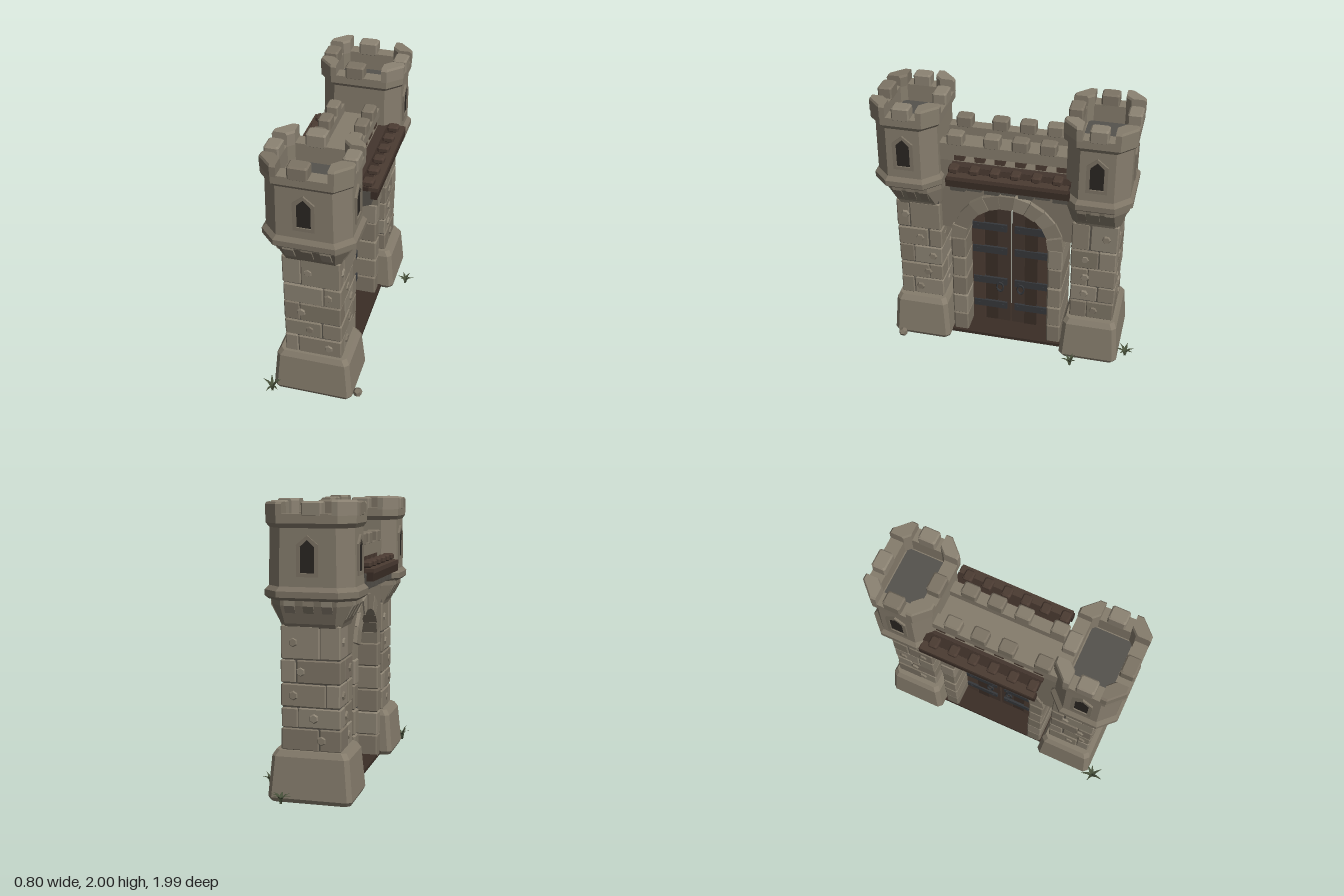
import * as THREE from 'three';

const mat = (color, side = THREE.FrontSide) =>
  new THREE.MeshStandardMaterial({ color, flatShading: true, roughness: 0.9, side });
const STONES = [mat(0x857c6c), mat(0x7d7465), mat(0x8c8373)];
const STONE = STONES[0], DARK = mat(0x55514a), FLOOR = mat(0x54524d);
const WOOD = [mat(0x43352d), mat(0x3a2d26), mat(0x4b3b32)];
const IRON = mat(0x35373a), VOID = mat(0x2a2622), LEAF = mat(0x47503a, THREE.DoubleSide);

let seed = 7;
const rnd = (a, b) => {
  seed = (seed * 16807) % 2147483647;
  return a + (b - a) * (seed / 2147483647);
};
const stone = () => STONES[Math.floor(rnd(0, 3))];

function add(parent, name, geo, material, x = 0, y = 0, z = 0) {
  const m = new THREE.Mesh(geo, material);
  m.name = name;
  m.position.set(x, y, z);
  parent.add(m);
  return m;
}
const box = (w, h, d) => new THREE.BoxGeometry(w, h, d);

// Rectangle with cut corners, as [x, z] points
const cut = (hx, hz, c) => [
  [hx, -hz + c], [hx, hz - c], [hx - c, hz], [-hx + c, hz],
  [-hx, hz - c], [-hx, -hz + c], [-hx + c, -hz], [hx - c, -hz]];

// Skin over horizontal rings [y, points], capped at both ends
function loft(rings) {
  const n = rings[0][1].length, pos = [], idx = [];
  for (const [y, pts] of rings) for (const [x, z] of pts) pos.push(x, y, z);
  const cap = (r, up) => {
    const [y, pts] = rings[r], c = pos.length / 3;
    pos.push(pts.reduce((s, p) => s + p[0], 0) / n, y, pts.reduce((s, p) => s + p[1], 0) / n);
    for (let i = 0; i < n; i++) {
      const a = r * n + i, b = r * n + (i + 1) % n;
      if (up) idx.push(c, b, a); else idx.push(c, a, b);
    }
  };
  for (let r = 0; r < rings.length - 1; r++) for (let i = 0; i < n; i++) {
    const a = r * n + i, b = r * n + (i + 1) % n;
    idx.push(a, a + n, b, a + n, b + n, b);
  }
  cap(0, false);
  cap(rings.length - 1, true);
  const g = new THREE.BufferGeometry();
  g.setAttribute('position', new THREE.Float32BufferAttribute(pos, 3));
  g.setIndex(idx);
  const flat = g.toNonIndexed();
  flat.computeVertexNormals();
  return flat;
}

// Stone block with worn edges, centred
function block(w, h, d, b = 0.01) {
  const x = w / 2, y = h / 2, z = d / 2;
  return loft([[-y, cut(x - b, z - b, b)], [-y + b, cut(x, z, b)], [y - b, cut(x, z, b)], [y, cut(x - b, z - b, b)]]);
}

// Outline in (z, y), extruded along x from x0 to x1
function slabX(pts, x0, x1) {
  const s = new THREE.Shape(pts.map(p => new THREE.Vector2(p[0], p[1])));
  const g = new THREE.ExtrudeGeometry(s, { depth: x1 - x0, bevelEnabled: false });
  return g.rotateY(-Math.PI / 2).translate(x1, 0, 0);
}

// Pointed window facing +z
function windowFrame() {
  const g = new THREE.Group();
  g.name = 'window';
  const outline = (w, y0, y1, peak) => [[-w, y0], [w, y0], [w, y1], [0, peak], [-w, y1]].map(p => new THREE.Vector2(...p));
  const s = new THREE.Shape(outline(0.073, -0.13, 0.075, 0.135));
  s.holes.push(new THREE.Path(outline(0.048, -0.105, 0.062, 0.108).reverse()));
  add(g, 'windowSurround', new THREE.ExtrudeGeometry(s, { depth: 0.025, bevelEnabled: false }), STONES[1], 0, 0, -0.012);
  add(g, 'windowOpening', new THREE.ShapeGeometry(new THREE.Shape(outline(0.05, -0.11, 0.065, 0.11))), VOID, 0, 0, 0.004);
  return g;
}

function tower(side) {
  const t = new THREE.Group();
  t.name = side > 0 ? 'frontTower' : 'rearTower';
  t.position.set(-0.045, 0, side * 0.645);
  add(t, 'towerBase', loft([[0, cut(0.275, 0.205, 0.03)], [0.03, cut(0.29, 0.22, 0.03)],
    [0.31, cut(0.265, 0.2, 0.03)], [0.35, cut(0.24, 0.18, 0.03)]]), STONE);
  add(t, 'shaftCore', box(0.385, 0.95, 0.305), DARK, 0, 0.8, 0);

  // Shaft courses of four worn blocks with staggered joints
  const ys = [0.345, 0.5, 0.64, 0.8, 0.96, 1.19];
  for (let i = 0; i < 5; i++) {
    const h = ys[i + 1] - ys[i] - 0.004, y = (ys[i] + ys[i + 1]) / 2;
    const sx = (i % 2 ? 0.07 : -0.08) + rnd(-0.03, 0.03), sz = (i % 2 ? -0.05 : 0.05) + rnd(-0.02, 0.02);
    for (const [x0, x1] of [[-0.205, sx], [sx, 0.205]]) for (const [z0, z1] of [[-0.165, sz], [sz, 0.165]]) {
      const m = add(t, 'shaftBlock', block(x1 - x0 - 0.003, h, z1 - z0 - 0.003, 0.008), stone(),
        (x0 + x1) / 2 + rnd(-0.004, 0.004), y, (z0 + z1) / 2 + rnd(-0.004, 0.004));
      m.rotation.set(rnd(-0.015, 0.015), 0, rnd(-0.015, 0.015));
    }
    // Six-sided stones set in the faces
    for (const d of [-1, 1]) {
      const cx = add(t, 'faceStone', new THREE.CylinderGeometry(0.025, 0.034, 0.012, 6), stone(), d * 0.208, y, rnd(-0.11, 0.11));
      cx.rotation.z = -d * Math.PI / 2;
      const cz = add(t, 'faceStone', new THREE.CylinderGeometry(0.025, 0.034, 0.012, 6), stone(), rnd(-0.14, 0.14), y, d * 0.167);
      cz.rotation.x = d * Math.PI / 2;
    }
  }

  // Crown: flared neck, ledge, drum and hollow parapet
  const crown = new THREE.Group();
  crown.name = 'crown';
  crown.position.z = side > 0 ? 0.055 : 0;
  t.add(crown);
  const shift = crown.position.z;
  const neck = (hx, hz, c, k) => cut(hx, hz, c).map(([x, z]) => [x, z - shift * k]);
  add(crown, 'neck', loft([[1.17, neck(0.2, 0.16, 0.03, 1)], [1.2, neck(0.21, 0.175, 0.04, 0.9)],
    [1.32, neck(0.27, 0.21, 0.08, 0.4)], [1.37, neck(0.277, 0.215, 0.09, 0.3)]]), STONES[1]);
  add(crown, 'ledge', loft([[1.355, cut(0.295, 0.225, 0.1)], [1.375, cut(0.318, 0.245, 0.11)],
    [1.415, cut(0.318, 0.245, 0.11)], [1.445, cut(0.29, 0.222, 0.1)]]), STONES[1]);
  add(crown, 'drum', loft([[1.44, cut(0.292, 0.222, 0.1)], [1.82, cut(0.285, 0.22, 0.1)], [1.85, cut(0.303, 0.245, 0.1)],
    [1.91, cut(0.303, 0.245, 0.1)], [1.91, cut(0.205, 0.15, 0.04)], [1.78, cut(0.205, 0.15, 0.04)]]), STONE);
  add(crown, 'towerFloor', box(0.39, 0.01, 0.28), FLOOR, 0, 1.782, 0);

  // Brackets under the ledge
  const profile = [[0, 1.23], [0.03, 1.23], [0.08, 1.32], [0.08, 1.37], [0, 1.37]];
  for (const d of [-1, 1]) for (const k of [-1, 0, 1]) {
    const a = add(crown, 'bracket', slabX(profile, -0.035, 0.035), stone(), k * 0.125, 0, d * 0.143 - shift * 0.4);
    a.rotation.y = d > 0 ? 0 : Math.PI;
    const b = add(crown, 'bracket', slabX(profile, -0.03, 0.03), stone(), d * 0.2, 0, k * 0.095 - shift * 0.5);
    b.rotation.y = d * Math.PI / 2;
  }

  // Battlements: four bent corners and four middles
  const X = 0.305, Z = 0.247;
  for (const sx of [-1, 1]) for (const sz of [-1, 1]) {
    const ring = k => {
      const p = [[X - k, Z - 0.14], [X - k, Z - 0.1], [X - 0.1, Z - k], [X - 0.14, Z - k],
        [X - 0.14, Z - 0.1 + k], [X - 0.1 + k, Z - 0.14]].map(([x, z]) => [x * sx, z * sz]);
      return sx * sz > 0 ? p : p.reverse();
    };
    const top = sx * sz > 0 ? 2 : 1.985;
    add(crown, 'cornerMerlon', loft([[1.9, ring(0)], [top - 0.015, ring(0)], [top, ring(0.012)]]), stone());
  }
  for (const d of [-1, 1]) {
    add(crown, 'merlon', block(0.135, 0.1, 0.1), stone(), -0.03, 1.94, d * 0.197);
    add(crown, 'merlon', block(0.1, 0.1, 0.125), stone(), d * 0.255, 1.94, 0);
  }

  // Windows on the two long faces and the outer end
  for (const [x, z, r] of [[0.288, 0, Math.PI / 2], [-0.288, 0, -Math.PI / 2], [0, side * 0.221, side > 0 ? 0 : Math.PI]]) {
    const w = windowFrame();
    w.position.set(x, 1.64, z);
    w.rotation.y = r;
    crown.add(w);
  }
  return t;
}

function gatehouse() {
  const g = new THREE.Group();
  g.name = 'gatehouse';
  const arc = (r, a) => [r * Math.cos(a), 0.9 + r * Math.sin(a)];
  // Wall above the arch
  const under = [];
  for (let i = 0; i <= 12; i++) under.push(arc(0.36, 0.2 + (Math.PI - 0.4) * i / 12));
  add(g, 'wall', slabX([[-0.49, 1.54], [-0.49, 0.97], ...under.reverse(), [0.49, 0.97], [0.49, 1.54]], -0.23, 0.1), STONES[1]);
  // Arch stones and jambs
  for (let i = 0; i < 11; i++) {
    const a = Math.PI * i / 11 + 0.005, b = Math.PI * (i + 1) / 11 - 0.005, o = rnd(0.405, 0.42);
    add(g, 'archStone', slabX([arc(0.305, a), arc(o, a), arc(o, b), arc(0.305, b)], -0.25 + rnd(-0.01, 0.01), 0.13 + rnd(-0.01, 0.01)), stone());
  }
  for (const s of [-1, 1]) for (let i = 0; i < 5; i++)
    add(g, 'jambStone', block(rnd(0.37, 0.39), 0.177, 0.11 + rnd(-0.005, 0.008)), stone(), -0.06, 0.1 + i * 0.178, s * 0.36);
  add(g, 'threshold', box(0.4, 0.025, 0.9), WOOD[1], -0.05, 0.0225, 0);

  // Walkway carried on short piers, with open slots between them
  const PIERS = [-0.38, -0.235, -0.09, 0.055, 0.2, 0.345];
  for (const z of PIERS) add(g, 'walkwayPier', box(0.32, 0.06, 0.07), WOOD[2], -0.065, 1.56, z);
  add(g, 'walkwayEnd', box(0.33, 0.06, 0.1), STONE, -0.065, 1.56, 0.435);
  add(g, 'walkway', box(0.33, 0.025, 0.92), STONE, -0.065, 1.597, 0.03);
  for (const x of [-0.195, 0.065]) {
    add(g, 'parapet', box(0.085, 0.07, 0.92), STONE, x, 1.64, 0.03);
    for (const z of [0.37, 0.11, -0.09, -0.285])
      add(g, 'wallMerlon', block(0.09, 0.09, 0.115), stone(), x, 1.707, z);
  }

  // Flat timber galleries on stone brackets, one on each face
  for (const s of [-1, 1]) {
    const deck = new THREE.Group();
    deck.name = 'timberGallery';
    deck.position.set(s > 0 ? 0.1 : -0.19, 0, -0.04);
    if (s < 0) deck.rotation.y = Math.PI;
    g.add(deck);
    for (let i = 0; i < 3; i++)
      add(deck, 'galleryBoard', box(0.066, 0.03, 0.86 - i * 0.01), WOOD[i], 0.033 + i * 0.066, 1.522 - i * 0.002, 0);
    add(deck, 'galleryBeam', box(0.045, 0.06, 0.86), WOOD[1], 0.172, 1.48, 0);
    for (const z of PIERS) add(deck, 'galleryBlock', block(0.08, 0.045, 0.07), WOOD[2], 0.125, 1.557, s * (z + 0.04));
    const sh = new THREE.Shape([[-0.02, 1.32], [0.05, 1.35], [0.15, 1.39], [0.15, 1.47], [0.13, 1.51], [-0.02, 1.51]].map(p => new THREE.Vector2(...p)));
    for (let i = 0; i < 7; i++)
      add(deck, 'galleryBracket', new THREE.ExtrudeGeometry(sh, { depth: 0.1, bevelEnabled: false }), DARK, 0, i % 2 * 0.012, -0.41 + i * 0.12);
  }

  // Two plank doors with straps and ring handles
  const top = z => 0.9 + Math.sqrt(Math.max(0, 0.298 ** 2 - z * z));
  for (const s of [-1, 1]) {
    const leaf = new THREE.Group();
    leaf.name = s > 0 ? 'doorLeafFront' : 'doorLeafRear';
    g.add(leaf);
    [0.008, 0.106, 0.204].forEach((a, i) => {
      const b = a + 0.094, off = rnd(0, 0.01), pts = [[a * s, 0.04], [b * s, 0.04]];
      for (let k = 4; k >= 0; k--) {
        const z = a + (b - a) * k / 4;
        pts.push([z * s, top(z)]);
      }
      add(leaf, 'plank', slabX(pts, -0.08 - off, -0.03 + off), WOOD[i]);
    });
    for (const y of [0.2, 0.43, 0.72, 0.93]) {
      add(leaf, 'strap', box(0.085, 0.06, 0.26), IRON, -0.055, y, s * 0.16);
      for (const z of [0.06, 0.25]) add(leaf, 'rivet', box(0.095, 0.018, 0.018), IRON, -0.055, y, s * z);
    }
    for (const x of [-0.11, 0]) {
      const r = add(leaf, 'ringHandle', new THREE.TorusGeometry(0.025, 0.007, 5, 10), IRON, x, 0.39, s * 0.08);
      r.rotation.y = Math.PI / 2;
      r.scale.y = 1.6;
    }
  }
  return g;
}

// Tuft of bent pointed leaves
function plant(x, z, size) {
  const p = new THREE.Group();
  p.name = 'plant';
  p.position.set(x, 0.01, z);
  for (let i = 0; i < 7; i++) {
    const g = new THREE.PlaneGeometry(0.032, 1, 2, 3).translate(0, 0.5, 0), q = g.attributes.position;
    const lean = rnd(0.4, 0.95);
    for (let k = 0; k < q.count; k++) {
      const t = q.getY(k);
      q.setXYZ(k, q.getX(k) * (0.5 + 2 * t * (1 - t)) * (1 - t * t), size * t * (1.25 - lean * t * 0.8), size * lean * t * t * 0.8);
    }
    g.computeVertexNormals();
    add(p, 'leaf', g, LEAF).rotation.y = i * 0.9 + rnd(-0.2, 0.2);
  }
  return p;
}

export function createModel() {
  const model = new THREE.Group();
  model.name = 'castleGate';
  model.add(tower(1), tower(-1), gatehouse());
  model.add(plant(-0.33, 0.91, 0.13), plant(0.33, -0.53, 0.1), plant(0.13, -0.92, 0.11));
  add(model, 'looseRock', new THREE.DodecahedronGeometry(0.035), STONES[1], 0.275, 0.035, 0.79);
  return model;
}
